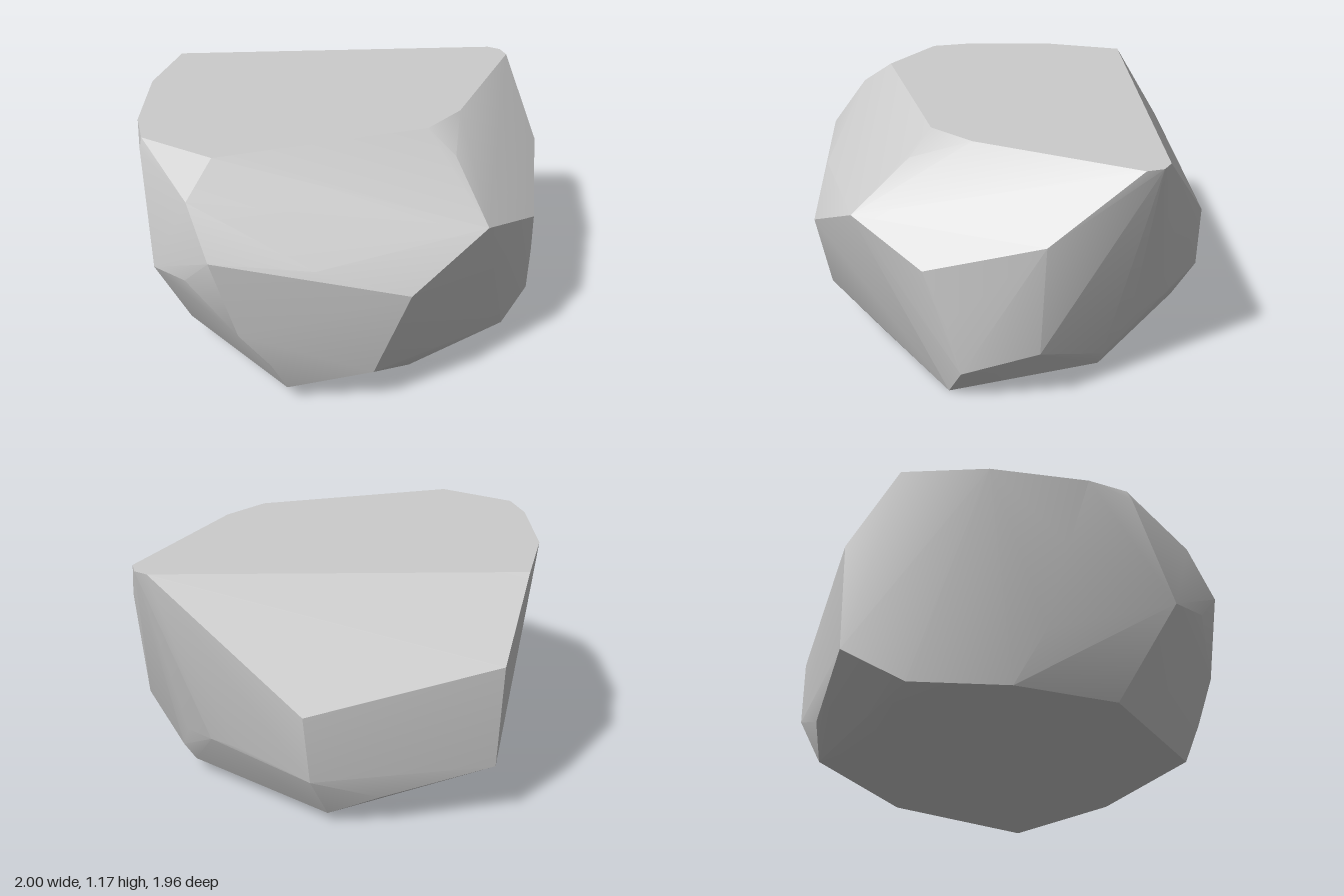
import * as THREE from 'three';
import { ConvexGeometry } from 'three/addons/geometries/ConvexGeometry.js';
import { toCreasedNormals } from 'three/addons/utils/BufferGeometryUtils.js';

// Outline of the level top, as x, z
const TOP_Y = 1.17;
const topRim = [
  [-0.86, -0.66], [0.83, -0.66], [0.89, -0.62], [0.91, -0.54], [0.66, -0.11], [0.54, 0.19],
  [0.36, 0.38], [-0.63, 0.63], [-0.96, 0.4], [-1, 0.2], [-0.98, -0.27],
].map(([x, z]) => [x, TOP_Y, z]);

// Corners where the upper facets meet the lower ones, going round from the front
const waist = [
  [-0.97, 1.12, 0.42], [-0.74, 1.04, 0.79], [-0.65, 0.83, 0.96], [-0.19, 0.77, 0.955], [0.23, 0.64, 0.98],
  [0.48, 1.07, 0.48], [0.6, 0.84, 0.75], [0.89, 0.7, 0.42], [0.92, 0.78, 0.19], [1, 0.86, -0.12],
  [0.15, 0.62, -0.98], [-0.74, 0.81, -0.88],
  [-0.98, 0.82, 0.1], [-0.93, 0.61, 0.62], [-0.77, 0.66, 0.82],
];

// Lower corners, in the same order
const skirt = [
  [-0.54, 0.44, 0.95], [-0.4, 0.25, 0.93], [0.07, 0.2, 0.94], [0.92, 0.45, 0.32], [0.93, 0.18, 0.26],
  [0.96, 0.3, -0.1], [0.755, 0.16, -0.41], [0.71, 0.32, -0.54], [0.58, 0.37, -0.72], [0.44, 0.37, -0.81],
  [0.12, 0.29, -0.98], [-0.2, 0.17, -0.92], [-0.73, 0.3, -0.87], [-0.94, 0.4, 0],
];

// Corners of the slightly tilted underside
const base = [
  [-0.33, 0.08, 0.88], [0.27, 0.02, 0.67], [0.8, 0, 0.32], [0.7, 0.07, -0.4], [0.04, 0.06, -0.88],
  [-0.23, 0.06, -0.68], [-0.79, 0.15, -0.59], [-0.88, 0.14, -0.14], [-0.81, 0.14, 0.36],
];

export function createModel() {
  const group = new THREE.Group();
  group.name = 'boulder';

  // Faceted stone: hull of the corner rings, smooth within each broad facet
  const corners = [...topRim, ...waist, ...skirt, ...base].map((p) => new THREE.Vector3(...p));
  const geometry = toCreasedNormals(new ConvexGeometry(corners), THREE.MathUtils.degToRad(22));
  const stone = new THREE.Mesh(geometry, new THREE.MeshStandardMaterial({ color: 0xcccccc }));
  stone.name = 'stone';
  group.add(stone);
  return group;
}
